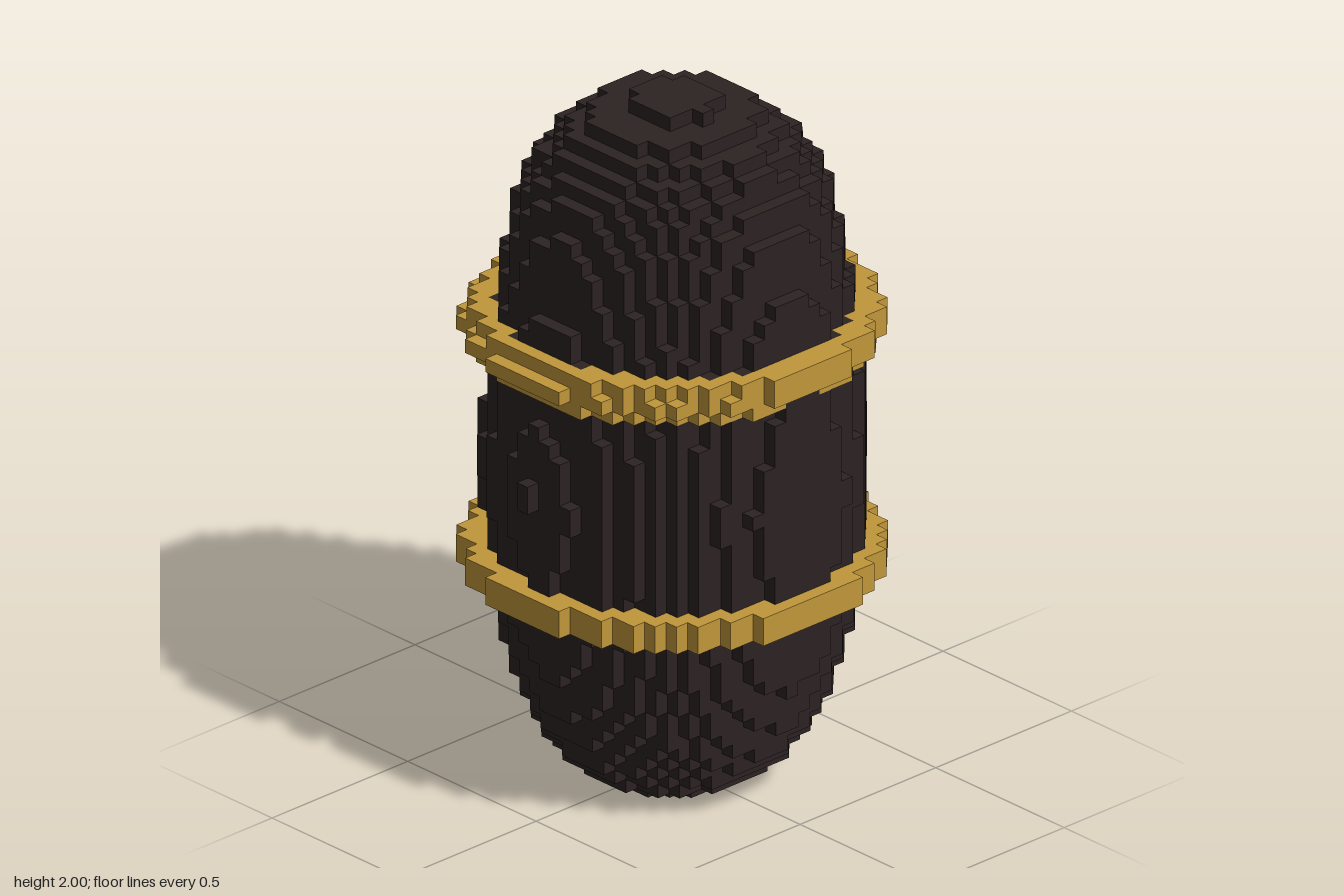
import * as THREE from 'three';

const LAYERS = 49, HALF = 13, CELL = 2 / LAYERS;

// Body radius in cells at given layers, interpolated between them
const PROFILE = [
  [0, 4.6], [1, 6.4], [2, 7.5], [3, 8.3], [4, 8.9], [5, 9.4], [6, 9.85], [8, 10.5], [10, 11.15],
  [14, 11.8], [16, 12.1], [20, 12.3], [23, 12.5], [26, 12.25], [31, 11.9], [36, 11.1], [41, 10.15],
  [43, 9.3], [44, 8.7], [45, 7.9], [46, 6.9], [47, 5.6], [48, 2.85],
];

function bodyRadius(y) {
  const k = Math.max(1, PROFILE.findIndex(p => p[0] >= y));
  const [y0, r0] = PROFILE[k - 1], [y1, r1] = PROFILE[k];
  return THREE.MathUtils.lerp(r0, r1, (y - y0) / (y1 - y0));
}

// Bands: layer -> [radius, centre x, centre z]
const LOWER_BAND = { 15: [13.6, 0.05, 0.08], 16: [13.6, 0.05, 0.08] };
const UPPER_BAND = { 31: [12.75, 0.1, 0.05], 32: [13.5, 0, 0], 33: [13.2, 0.2, 0.2] };

const inDisc = (x, z, r, cx, cz) => (x - cx) ** 2 + (z - cz) ** 2 <= r * r;
const inBand = (band, x, y, z) => !!band[y] && inDisc(x, z, ...band[y]);

function inBody(x, y, z) {
  if (y < 0 || y >= LAYERS) return false;
  // single raised studs on the two sides
  if (z === 0 && x === -13 && (y === 23 || y === 24)) return true;
  if (z === 0 && x === 13 && (y === 21 || y === 22)) return true;
  return inDisc(x, z, bodyRadius(y), 0.1, 0.2);
}

// Which part fills a cell; the body wins where it meets a band
function partAt(x, y, z) {
  if (inBody(x, y, z)) return 'body';
  if (inBand(LOWER_BAND, x, y, z)) return 'lowerBand';
  if (inBand(UPPER_BAND, x, y, z)) return 'upperBand';
  return null;
}

// Collects the exposed cube faces of one part
function voxelGeometry(part) {
  const pos = [], nor = [], idx = [];
  for (let y = 0; y < LAYERS; y++)
    for (let x = -HALF; x <= HALF; x++)
      for (let z = -HALF; z <= HALF; z++) {
        if (partAt(x, y, z) !== part) continue;
        const centre = [x, y + 0.5, z];
        for (let axis = 0; axis < 3; axis++)
          for (const s of [-1, 1]) {
            const n = [0, 0, 0];
            n[axis] = s;
            if (partAt(x + n[0], y + n[1], z + n[2])) continue;
            const u = (axis + 1) % 3, v = (axis + 2) % 3, base = pos.length / 3;
            for (const [a, b] of [[-1, -1], [1, -1], [1, 1], [-1, 1]]) {
              const p = [...centre];
              p[axis] += s / 2;
              p[u] += (a * s) / 2;
              p[v] += b / 2;
              pos.push(...p.map(c => c * CELL));
              nor.push(...n);
            }
            idx.push(base, base + 1, base + 2, base, base + 2, base + 3);
          }
      }
  const g = new THREE.BufferGeometry();
  g.setAttribute('position', new THREE.Float32BufferAttribute(pos, 3));
  g.setAttribute('normal', new THREE.Float32BufferAttribute(nor, 3));
  g.setIndex(idx);
  return g;
}

export function createModel() {
  const dark = new THREE.MeshStandardMaterial({ color: 0x2c2222 });
  dark.name = 'dark brown';
  const gold = new THREE.MeshStandardMaterial({ color: 0xc0963a });
  gold.name = 'gold';

  const group = new THREE.Group();
  group.name = 'bandedCapsule';
  for (const [name, material] of [['body', dark], ['lowerBand', gold], ['upperBand', gold]]) {
    const mesh = new THREE.Mesh(voxelGeometry(name), material);
    mesh.name = name;
    group.add(mesh);
  }
  return group;
}
